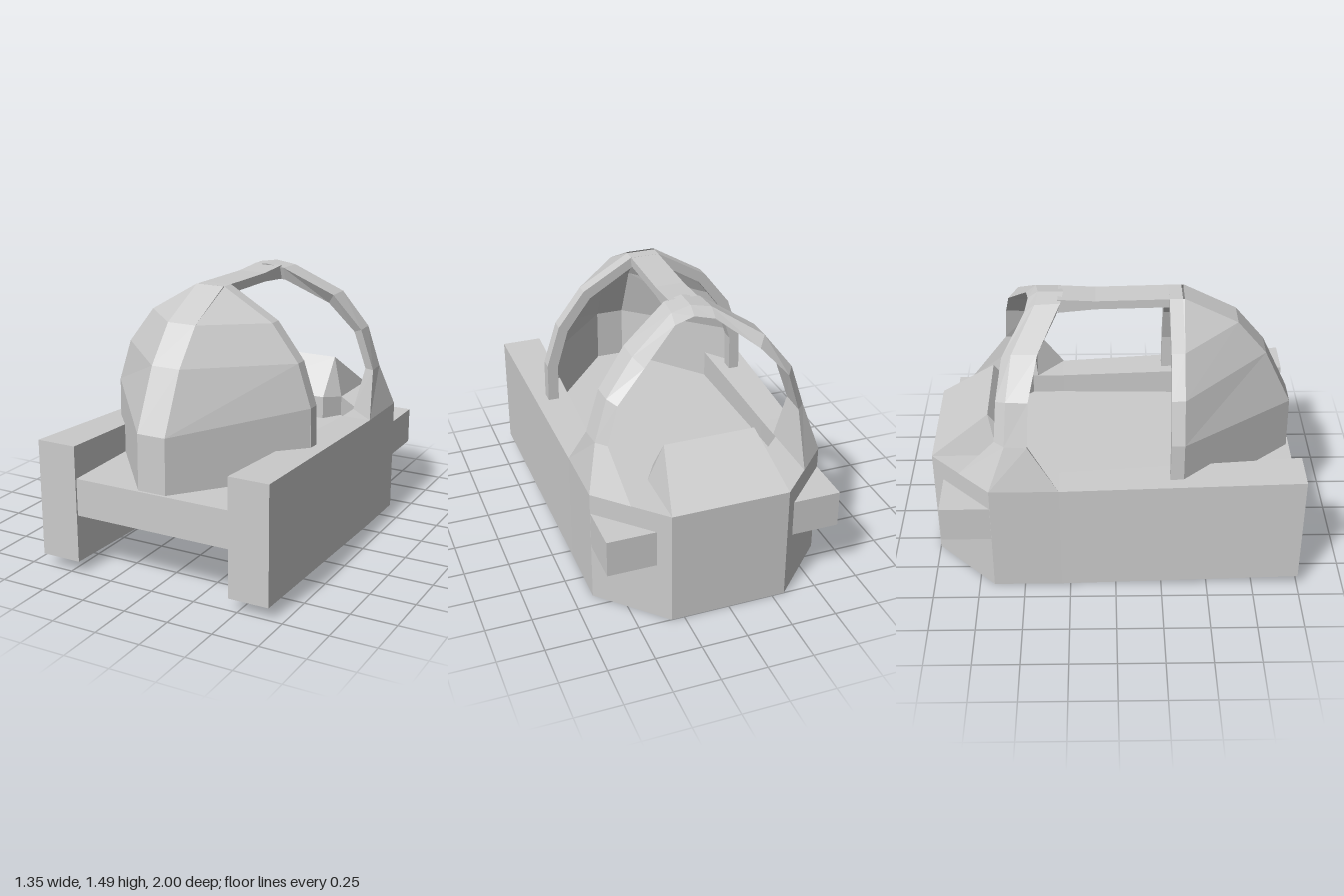
import * as THREE from 'three';
import { ConvexGeometry } from 'three/addons/geometries/ConvexGeometry.js';

const solid = new THREE.MeshStandardMaterial({ color: 0xcccccc, flatShading: true });
const thin = new THREE.MeshStandardMaterial({ color: 0xcccccc, flatShading: true, side: THREE.DoubleSide });

// Skin a list of cross-sections; each ring runs counter-clockwise seen from ahead
function loft(rings, { closed = true, cap = false } = {}) {
  const pos = [];
  const tri = (a, b, c) => pos.push(...a, ...b, ...c);
  const n = rings[0].length;
  for (let i = 0; i < rings.length - 1; i++) {
    const A = rings[i], B = rings[i + 1];
    for (let j = 0; j < (closed ? n : n - 1); j++) {
      const k = (j + 1) % n;
      tri(A[j], A[k], B[k]);
      tri(A[j], B[k], B[j]);
    }
  }
  if (cap) {
    const E = rings[rings.length - 1];
    for (let j = 1; j < n - 1; j++) tri(E[0], E[j], E[j + 1]);
  }
  const g = new THREE.BufferGeometry();
  g.setAttribute('position', new THREE.Float32BufferAttribute(pos, 3));
  g.computeVertexNormals();
  return g;
}

// Vertical prism from a plan outline of [x, z] points
function prism(plan, bottom, top) {
  const shape = new THREE.Shape(plan.map(([x, z]) => new THREE.Vector2(x, z)));
  return new THREE.ExtrudeGeometry(shape, { depth: top - bottom, bevelEnabled: false })
    .rotateX(Math.PI / 2).translate(0, top, 0);
}

// Complete half an outline with its mirror image
const mirrorPlan = (half) => [...half, ...half.map(([x, z]) => [-x, z]).reverse()];

// Complete half an arch of rings, given from the left foot to the crown
const mirrorArch = (half, crown) => [
  ...half, ...(crown ? [crown] : []),
  ...half.map((r) => r.map(([x, y, z]) => [-x, y, z])).reverse(),
];

const rect = (x0, x1, y0, y1, z) => [[x0, y0, z], [x1, y0, z], [x1, y1, z], [x0, y1, z]];

export function createModel() {
  const model = new THREE.Group();
  const add = (name, geometry, material = solid) => {
    const mesh = new THREE.Mesh(geometry, material);
    mesh.name = name;
    model.add(mesh);
  };

  // Rear hull: U-shaped block with chamfered corners
  add('rearHull', prism([
    ...mirrorPlan([[0.48, -0.3], [0.645, -0.3], [0.645, -0.67], [0.32, -1]]),
    ...[[-0.48, -0.48], [-0.32, -0.64], [0.32, -0.64], [0.48, -0.48]],
  ], 0, 0.645));

  // Deck between the side beams
  add('deck', prism(mirrorPlan([[0.455, 0.99], [0.49, -0.3], [0.49, -0.5], [0.33, -0.65]]), 0.325, 0.53));

  for (const s of [1, -1]) {
    const side = s > 0 ? 'left' : 'right';
    // Tapering side beam
    const span = (a, b) => (s > 0 ? [a, b] : [-b, -a]);
    add(side + 'SideBeam', loft([
      rect(...span(0.48, 0.645), 0, 0.645, -0.3),
      rect(...span(0.45, 0.675), 0.065, 0.71, 1),
    ], { cap: true }));
    // Stub projecting behind the chamfer
    add(side + 'RearStub', new THREE.BoxGeometry(0.295, 0.205, 0.345)
      .translate(s * 0.4965, 0.4275, -0.7675));
  }

  // Wedge-shaped hump on the rear deck
  const hump = [];
  for (const s of [1, -1]) {
    for (const [x, y, z] of [[0.25, 0.53, -0.53], [0.25, 0.66, -0.53], [0.25, 0.87, -0.69],
      [0.32, 0.645, -1], [0.32, 0.645, -0.64], [0.32, 0.53, -0.64]]) {
      hump.push(new THREE.Vector3(s * x, y, z));
    }
  }
  add('rearHump', new ConvexGeometry(hump));

  // Rear hoop: rings of front, outer, back and inner corners
  add('rearHoop', loft(mirrorArch([
    [[0.645, 0.645, -0.3], [0.645, 0.645, -0.67], [0.48, 0.645, -0.84], [0.48, 0.645, -0.45]],
    [[0.59, 0.89, -0.46], [0.58, 0.89, -0.58], [0.53, 0.89, -0.635], [0.535, 0.89, -0.48]],
    [[0.515, 1.12, -0.45], [0.51, 1.12, -0.565], [0.47, 1.1, -0.62], [0.465, 1.1, -0.47]],
    [[0.36, 1.315, -0.4], [0.36, 1.315, -0.535], [0.315, 1.27, -0.59], [0.32, 1.26, -0.43]],
    [[0.1, 1.467, -0.285], [0.11, 1.465, -0.42], [0.11, 1.42, -0.475], [0.1, 1.395, -0.31]],
  ], [[0, 1.485, -0.27], [0, 1.485, -0.405], [0, 1.445, -0.46], [0, 1.4, -0.3]])));

  // Spine joining the hoop to the canopy
  add('spine', loft([
    rect(-0.08, 0.08, 1.4, 1.478, -0.3),
    rect(-0.08, 0.08, 1.42, 1.468, -0.1),
    rect(-0.08, 0.08, 1.43, 1.478, 0.32),
  ]));

  // Canopy rim arch standing on the side beams: outer x, y and inner x, y
  add('canopyRim', loft(mirrorArch([
    [0.59, 0.6, 0.53, 0.6], [0.585, 0.89, 0.525, 0.88], [0.51, 1.12, 0.46, 1.09],
    [0.36, 1.315, 0.325, 1.27], [0.08, 1.478, 0.07, 1.425],
  ].map(([x, y, u, v]) => [[x, y, 0.36], [x, y, 0.29], [u, v, 0.29], [u, v, 0.36]]))));

  // Faceted canopy: rows of side x, side y, ridge y and ridge z
  add('canopy', loft([
    [0.59, 0.53, 0.53, 0.975], [0.585, 0.89, 0.83, 0.97], [0.51, 1.12, 1.145, 0.82],
    [0.36, 1.315, 1.335, 0.66], [0.08, 1.478, 1.48, 0.37],
  ].map(([x, y, ry, rz]) => [[-x, y, 0.36], [-0.08, ry, rz], [0.08, ry, rz], [x, y, 0.36]]),
  { closed: false }), thin);

  return model;
}
